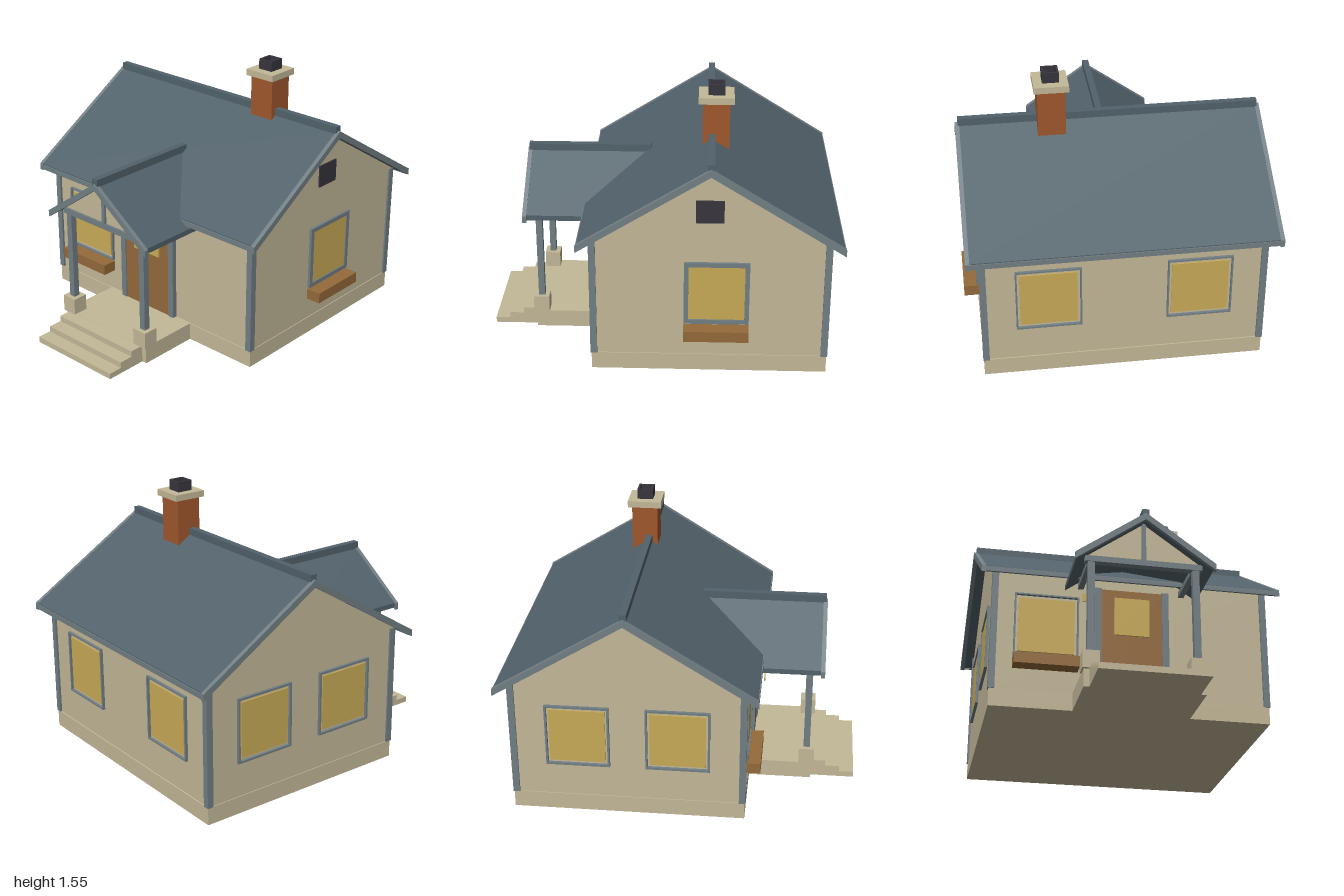
import * as THREE from 'three';

const mat = (name, color) => {
  const m = new THREE.MeshStandardMaterial({ color });
  m.name = name;
  return m;
};

export function createModel() {
  const wall = mat('cream', 0xc3b898), roof = mat('slate', 0x52626b), trim = mat('greyTrim', 0x727f84);
  const glass = mat('warmGlass', 0xc9ab57), wood = mat('wood', 0x946a3a);
  const brick = mat('brick', 0xa0572d), dark = mat('charcoal', 0x38353e);

  const root = new THREE.Group();
  root.name = 'cottage';
  const house = new THREE.Group();
  house.name = 'house';
  house.position.x = -0.005;
  root.add(house);

  const add = (name, geo, m, parent = house) => {
    const mesh = new THREE.Mesh(geo, m);
    mesh.name = name;
    parent.add(mesh);
    return mesh;
  };
  // box given by its limits on each axis
  const box = (name, m, x0, x1, y0, y1, z0, z1, parent = house) => {
    const geo = new THREE.BoxGeometry(x1 - x0, y1 - y0, z1 - z0);
    geo.translate((x0 + x1) / 2, (y0 + y1) / 2, (z0 + z1) / 2);
    return add(name, geo, m, parent);
  };
  // outline in x, y extruded from z0 to z1
  const prism = (points, z0, z1) => {
    const shape = new THREE.Shape(points.map(([x, y]) => new THREE.Vector2(x, y)));
    const geo = new THREE.ExtrudeGeometry(shape, { depth: z1 - z0, bevelEnabled: false });
    return geo.translate(0, 0, z0);
  };
  // folded roof sheet: ridge height, slope, half span, vertical thickness
  const chevron = (ridge, slope, half, t, z0, z1) => {
    const eave = ridge - slope * half;
    return prism([[-half, eave], [-half, eave - t], [0, ridge - t], [half, eave - t], [half, eave], [0, ridge]], z0, z1);
  };

  const ridgeZ = -0.273;
  const alongX = geo => geo.rotateY(Math.PI / 2).translate(0, 0, ridgeZ);

  // foundation and gabled walls
  box('foundation', wall, -0.782, 0.782, 0, 0.1, -0.93, 0.383);
  add('walls', alongX(prism([[-0.649, 0.1], [0.649, 0.1], [0.649, 0.815], [0, 1.22], [-0.649, 0.815]], -0.777, 0.777)), wall);
  for (const s of [-1, 1]) {
    for (const z of [ridgeZ - 0.643, ridgeZ + 0.643]) {
      box('cornerTrim', trim, s * 0.769 - 0.018, s * 0.769 + 0.018, 0.1, 0.805, z - 0.019, z + 0.019);
    }
  }

  // main roof with edge boards and ridge cap
  add('mainRoof', alongX(chevron(1.245, 0.62, 0.72, 0.032, -0.835, 0.835)), roof);
  for (const s of [-1, 1]) {
    add('gableBoard', alongX(chevron(1.249, 0.62, 0.727, 0.04, s * 0.843 - 0.012, s * 0.843 + 0.012)), trim);
    const z = ridgeZ + s * 0.72;
    box('eaveBoard', trim, -0.84, 0.84, 0.764, 0.793, z - 0.006, z + 0.006);
  }
  box('ridgeCap', roof, -0.84, 0.84, 1.225, 1.275, ridgeZ - 0.019, ridgeZ + 0.019);

  // chimney with an open square pot
  box('chimneyStack', brick, 0.25, 0.404, 1.1, 1.455, -0.372, -0.222);
  box('chimneyCap', wall, 0.231, 0.423, 1.453, 1.49, -0.395, -0.199);
  for (const s of [-1, 1]) {
    const x = 0.327 + s * 0.04, z = -0.297 + s * 0.04;
    box('chimneyPotSide', dark, x - 0.006, x + 0.006, 1.49, 1.55, -0.343, -0.251);
    box('chimneyPotEnd', dark, 0.287, 0.367, 1.49, 1.55, z - 0.006, z + 0.006);
  }

  // framed window, facing +z before it is turned
  const addWindow = (x, z, turn, bar) => {
    const g = new THREE.Group();
    g.name = 'window';
    g.position.set(x, 0.488, z);
    g.rotation.y = turn;
    house.add(g);
    box('windowGlass', glass, -0.157, 0.157, -0.161, 0.161, 0.002, 0.01, g);
    for (const s of [-1, 1]) {
      const c = s * (0.18 - bar / 2), r = s * (0.188 - bar / 2);
      box('frameSide', trim, c - bar / 2, c + bar / 2, -0.188, 0.188, 0, 0.016, g);
      box('frameRail', trim, -0.18, 0.18, r - bar / 2, r + bar / 2, 0, 0.016, g);
    }
  };
  const frontZ = ridgeZ + 0.649, backZ = ridgeZ - 0.649;
  addWindow(-0.478, frontZ, 0, 0.009);
  addWindow(0.777, -0.312, Math.PI / 2, 0.025);
  for (const s of [-1, 1]) {
    addWindow(s * 0.415, backZ, Math.PI, 0.009);
    addWindow(-0.777, ridgeZ + s * 0.28, -Math.PI / 2, 0.012);
  }

  // flower boxes and gable vent
  box('frontFlowerBox', wood, -0.66, -0.3, 0.227, 0.29, 0.37, 0.463);
  box('sideFlowerBox', wood, 0.77, 0.865, 0.227, 0.29, -0.491, -0.131);
  box('gableVent', dark, 0.775, 0.785, 0.913, 1.043, -0.347, -0.195);

  // front door
  box('door', wood, -0.173, 0.173, 0.1, 0.735, 0.37, 0.398);
  box('doorGlass', glass, -0.1, 0.1, 0.46, 0.687, 0.398, 0.406);
  for (const s of [-1, 1]) {
    box('doorTrim', trim, s * 0.192 - 0.019, s * 0.192 + 0.019, 0.1, 0.74, 0.37, 0.405);
  }
  box('porchLampGlass', glass, -0.294, -0.252, 0.62, 0.667, 0.456, 0.462);

  // porch floor and steps
  box('porchFloor', wall, -0.326, 0.326, 0, 0.103, 0.37, 0.747);
  for (let i = 0; i < 3; i++) {
    box('step', wall, -0.295, 0.295, 0, 0.034 * (i + 1), 0.74, 1 - 0.084 * i);
  }

  // porch posts and beams
  for (const s of [-1, 1]) {
    const x = s * 0.289;
    box('postBase', wall, x - 0.046, x + 0.046, 0.1, 0.2, 0.672, 0.763);
    box('porchPost', trim, x - 0.019, x + 0.019, 0.2, 0.735, 0.699, 0.736);
    box('sideBeam', trim, x - 0.016, x + 0.016, 0.732, 0.764, 0.38, 0.71);
  }
  box('frontBeam', trim, -0.325, 0.325, 0.73, 0.764, 0.697, 0.74);
  add('porchGable', prism([[-0.32, 0.762], [0.32, 0.762], [0, 0.993]], 0.705, 0.727), wall);
  box('kingPost', trim, -0.012, 0.012, 0.76, 1.0, 0.715, 0.74);

  // porch roof, running back into the main roof
  add('porchRoof', chevron(1.02, 0.715, 0.378, 0.03, 0.1, 0.785), roof);
  add('porchGableBoard', chevron(1.024, 0.715, 0.387, 0.04, 0.778, 0.802), trim);
  box('porchRidgeCap', roof, -0.019, 0.019, 1.0, 1.05, 0.08, 0.795);

  return root;
}
